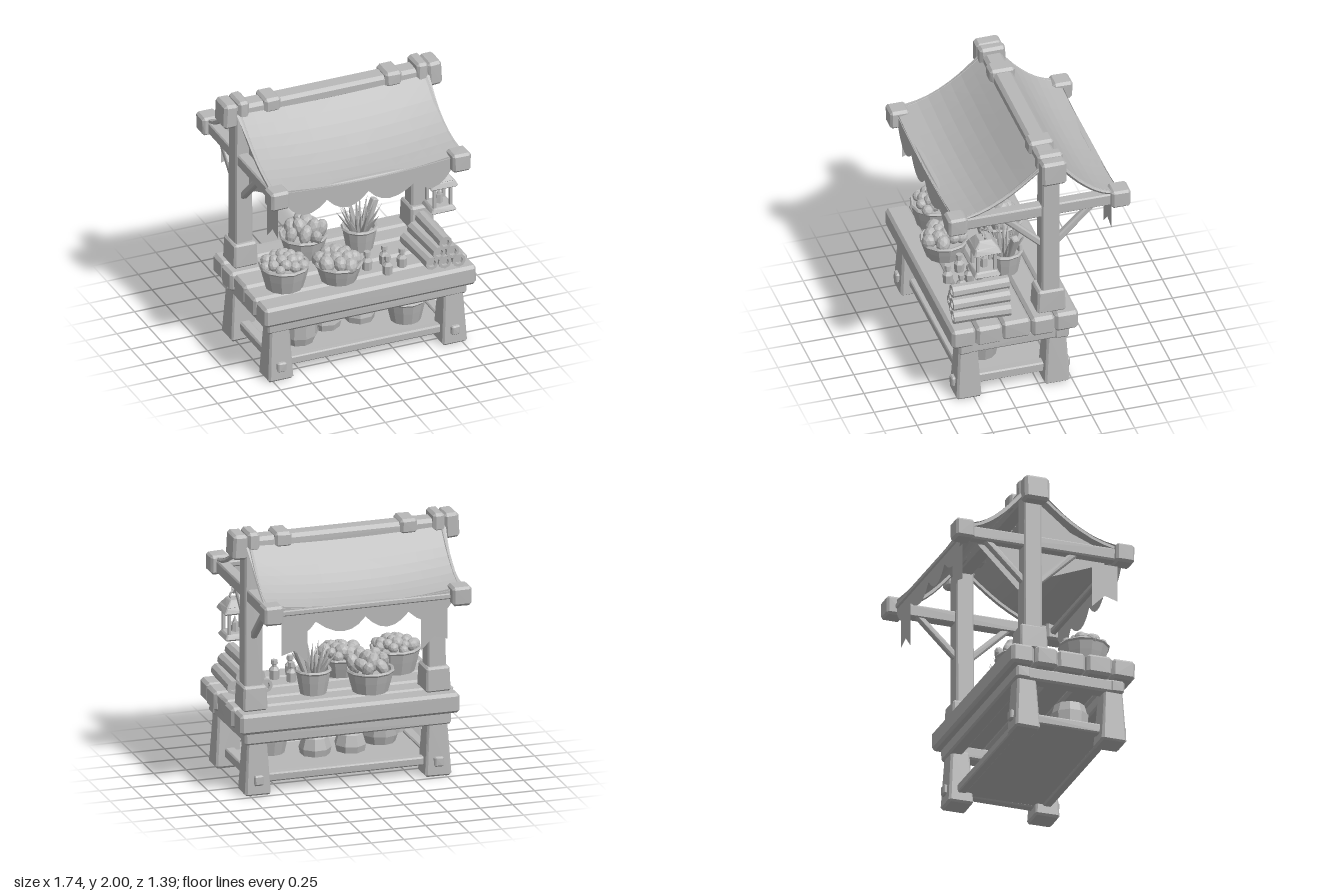
import * as THREE from 'three';
import { ConvexGeometry } from 'three/addons/geometries/ConvexGeometry.js';

export function createModel() {
  const model = new THREE.Group();
  const stone = new THREE.MeshStandardMaterial({ color: 0xb8b8b8 });
  stone.name = 'plain grey';
  stone.flatShading = true;
  stone.side = THREE.DoubleSide;

  let seed = 7;
  const rnd = () => (seed = (seed * 16807) % 2147483647) / 2147483647;

  function add(name, geo, x = 0, y = 0, z = 0, parent = model) {
    const mesh = new THREE.Mesh(geo, stone);
    mesh.name = name;
    mesh.position.set(x, y, z);
    parent.add(mesh);
    return mesh;
  }
  // Hand-hewn block: chamfered box with slight wobble, optionally narrower at the top
  function hewn(w, h, d, bevel = 0.015, taper = 1, wobble = 0.004) {
    const pts = [];
    for (const sx of [-1, 1]) for (const sy of [-1, 1]) for (const sz of [-1, 1]) {
      const k = sy > 0 ? taper : 1;
      for (let a = 0; a < 3; a++) {
        const b = [0, 1, 2].map(i => (i === a ? 0 : bevel));
        pts.push(new THREE.Vector3(
          sx * (w / 2 * k - b[0]) + (rnd() - 0.5) * wobble,
          sy * (h / 2 - b[1]) + (rnd() - 0.5) * wobble,
          sz * (d / 2 * k - b[2]) + (rnd() - 0.5) * wobble));
      }
    }
    return new ConvexGeometry(pts);
  }
  // Block given by its minimum and maximum corner
  function block(name, a, b, bevel, taper) {
    return add(name, hewn(b[0] - a[0], b[1] - a[1], b[2] - a[2], bevel, taper),
      (a[0] + b[0]) / 2, (a[1] + b[1]) / 2, (a[2] + b[2]) / 2);
  }
  // Square beam between two points
  function beam(name, a, b, t) {
    const p = new THREE.Vector3(...a), q = new THREE.Vector3(...b);
    const mesh = add(name, hewn(t, t, p.distanceTo(q), 0.01));
    mesh.position.copy(p).lerp(q, 0.5);
    mesh.lookAt(q);
    return mesh;
  }
  const shapeOf = pts => new THREE.ShapeGeometry(new THREE.Shape(pts.map(p => new THREE.Vector2(...p))));

  // Table top planks
  [[0.5, 0.68, 0.84], [0.3, 0.497, 0.85], [0.08, 0.297, 0.835], [-0.1, 0.077, 0.85], [-0.28, -0.103, 0.84]]
    .forEach(([z0, z1, x]) => block('tablePlank', [-x, 0.485, z0], [x, 0.64, z1], 0.022));
  // Apron under the top
  for (const z of [0.56, -0.17]) block('apron', [-0.79, 0.39, z - 0.055], [0.79, 0.49, z + 0.055], 0.015);
  for (const x of [-0.72, 0.72]) block('sideApron', [x - 0.06, 0.39, -0.2], [x + 0.06, 0.49, 0.6], 0.015);

  // Lower shelf with rails
  block('shelf', [-0.68, 0.085, -0.14], [0.68, 0.13, 0.54], 0.01);
  for (const z of [0.53, -0.13]) block('shelfRail', [-0.66, 0.075, z - 0.035], [0.66, 0.14, z + 0.035], 0.01);
  for (const x of [-0.68, 0.68]) block('sideRail', [x - 0.04, 0.075, -0.12], [x + 0.04, 0.15, 0.52], 0.01);

  for (const s of [-1, 1]) {
    // Splayed legs and pegs
    for (const [z, out] of [[0.535, 1], [-0.135, -1]]) {
      block('leg', [s * 0.69 - 0.1, 0, z - 0.095], [s * 0.69 + 0.1, 0.42, z + 0.095], 0.015, 0.76);
      block('legPeg', [s * 0.69 - 0.035, 0.08, z + out * 0.085 - 0.03], [s * 0.69 + 0.035, 0.155, z + out * 0.085 + 0.03], 0.01);
    }
    // Canopy posts
    block('postBase', [s * 0.7 - 0.095, 0.635, -0.2], [s * 0.7 + 0.095, 0.825, 0.02], 0.015, 0.94);
    block('post', [s * 0.7 - 0.07, 0.8, -0.16], [s * 0.7 + 0.07, 1.9, -0.02], 0.012, 0.95);
    // Ridge end blocks and straps
    const end = block('ridgeEnd', [s * 0.81 - 0.055, 1.8, -0.185], [s * 0.81 + 0.055, 1.99, 0.005], 0.02);
    end.rotation.z = s * 0.05;
    block('ridgeStrap', [s * 0.71 - 0.045, 1.86, -0.19], [s * 0.71 + 0.045, 2.0, 0.005], 0.02);
    block('ridgeStrap', [s * 0.48 - 0.065, 1.865, -0.185], [s * 0.48 + 0.065, 1.98, 0.005], 0.02);
    // Side arms, eave caps and braces
    block('sideArm', [s * 0.71 - 0.045, 1.465, -0.58], [s * 0.71 + 0.045, 1.56, 0.58], 0.01);
    for (const t of [-1, 1]) {
      block('eaveCap', [s * 0.72 - 0.073, 1.45, t * 0.62 - 0.073], [s * 0.72 + 0.073, 1.595, t * 0.62 + 0.073], 0.018);
      beam('brace', [s * 0.7, 1.2, -0.09 + t * 0.05], [s * 0.7, 1.49, -0.09 + t * 0.35], 0.05);
    }
  }
  block('ridgeBeam', [-0.82, 1.855, -0.165], [0.82, 1.955, -0.015], 0.025);
  for (const z of [-0.6, 0.6]) block('eaveBeam', [-0.66, 1.49, z - 0.025], [0.66, 1.535, z + 0.025], 0.01);

  // Sagging cloth roof, scalloped valance and rafters on both slopes
  const slope = new THREE.CatmullRomCurve3([[0, 1.9], [0.2, 1.74], [0.42, 1.62], [0.64, 1.565]]
    .map(([t, y]) => new THREE.Vector3(0, y, t)));
  const roofZ = (t, side) => (side > 0 ? -0.015 + t * 1.02 : -0.165 - t * 0.71);
  for (const side of [1, -1]) {
    const cloth = new THREE.PlaneGeometry(1.53, 1, 12, 8);
    const pos = cloth.attributes.position;
    for (let i = 0; i < pos.count; i++) {
      const v = 0.5 - pos.getY(i), x = pos.getX(i);
      const p = slope.getPoint(v);
      const sag = (1 - (x / 0.765) ** 2) * (0.02 + 0.03 * Math.sin(v * 2.4));
      pos.setXYZ(i, x * (1 - 0.025 * Math.sin(v * Math.PI)), p.y - sag, roofZ(p.z, side));
    }
    add('roofCloth', cloth);
    for (const x of [-0.735, 0.735]) {
      const path = new THREE.CatmullRomCurve3(slope.getPoints(6).map(p =>
        new THREE.Vector3(x, p.y - 0.018, roofZ(p.z, side))));
      add('rafter', new THREE.TubeGeometry(path, 8, 0.018, 5));
    }
    const valance = new THREE.Shape();
    valance.moveTo(-0.66, 1.57);
    valance.lineTo(-0.66, 1.46);
    [[-0.52, -0.33], [-0.17, 0], [0.15, 0.38], [0.51, 0.66]].forEach(([mid, stop]) =>
      valance.quadraticCurveTo(mid, 1.235, stop, stop > 0.6 ? 1.46 : 1.425));
    valance.lineTo(0.66, 1.57);
    valance.quadraticCurveTo(0, 1.48, -0.66, 1.57);
    add('valance', new THREE.ShapeGeometry(valance, 6), 0, 0, side > 0 ? 0.633 : -0.615);
  }

  // Swallow-tailed pennants
  const pennant = shapeOf([[-0.1, 0.35], [-0.1, 0.07], [0, 0.1], [0.1, 0], [0.1, 0.35]]);
  add('pennant', pennant, -0.535, 1.11, -0.59);
  add('pennant', pennant, 0.535, 1.11, -0.59).scale.x = -1;
  add('sidePennant', pennant, -0.7, 1.09, 0.49).rotation.y = Math.PI / 2;
  // Side drape
  add('sideDrape', shapeOf([[0, 1.86], [-0.24, 1.67], [-0.54, 1.55], [-0.5, 1.46], [-0.1, 1.3],
    [0.17, 1.15], [0.48, 1.46], [0.15, 1.5]]), -0.66).rotation.y = Math.PI / 2;

  // Hanging lantern
  const lantern = new THREE.Group();
  lantern.name = 'lantern';
  lantern.position.set(0.665, 1.02, 0.39);
  model.add(lantern);
  add('lanternBase', hewn(0.2, 0.045, 0.2, 0.01, 0.85), 0, 0.022, 0, lantern);
  add('lanternEaves', hewn(0.22, 0.05, 0.21, 0.01, 0.85), 0, 0.225, 0, lantern);
  add('lanternRoof', hewn(0.17, 0.06, 0.17, 0.01, 0.65), 0, 0.27, 0, lantern);
  add('candle', new THREE.CylinderGeometry(0.025, 0.03, 0.07, 6), 0, 0.08, 0, lantern);
  add('flame', new THREE.ConeGeometry(0.018, 0.05, 5), 0, 0.14, 0, lantern);
  for (const x of [-0.065, 0.065]) for (const z of [-0.065, 0.065])
    add('lanternBar', new THREE.BoxGeometry(0.022, 0.18, 0.022), x, 0.12, z, lantern);
  for (let i = 0; i < 3; i++)
    add('chainLink', new THREE.TorusGeometry(0.03, 0.009, 5, 8), 0.01, 0.32 + i * 0.05, 0, lantern).rotation.y = i * 1.5;

  // Baskets with heaped produce
  function basket(name, x, y, z, r, h) {
    const pts = [[0.01, 0], [r * 0.76, 0], [r * 0.9, h * 0.55], [r, h], [r * 0.9, h], [r * 0.85, h * 0.75], [0.01, h * 0.75]];
    add(name, new THREE.LatheGeometry(pts.map(p => new THREE.Vector2(...p)), 12), x, y, z);
    add(name + 'Rim', new THREE.TorusGeometry(r * 0.96, 0.014, 5, 12), x, y + h, z).rotation.x = Math.PI / 2;
  }
  function heap(x, y, z, r, top, size, count, stretch) {
    for (let i = 0; i < count; i++) {
      const d = Math.sqrt((i + 0.5) / count) * r * 0.82, a = i * 2.4;
      const item = add('produce', new THREE.IcosahedronGeometry(size * (0.8 + rnd() * 0.4), 1),
        x + d * Math.cos(a), y + top * (1 - (d / r) ** 2), z + d * Math.sin(a));
      item.scale.y = stretch;
      item.rotation.set(rnd() * 1.6 - 0.8, rnd() * 6, rnd() * 1.6 - 0.8);
    }
  }
  basket('leftBasket', -0.56, 0.64, 0.38, 0.185, 0.175);
  heap(-0.56, 0.8, 0.38, 0.185, 0.07, 0.042, 18, 1);
  basket('frontBasket', -0.155, 0.64, 0.44, 0.175, 0.135);
  heap(-0.155, 0.77, 0.44, 0.175, 0.06, 0.05, 13, 1.2);
  basket('backBasket', -0.24, 0.64, 0.0, 0.175, 0.16);
  heap(-0.24, 0.8, 0.0, 0.175, 0.08, 0.05, 12, 1.6);

  // Herb pot
  basket('herbPot', 0.17, 0.64, 0.08, 0.13, 0.175);
  for (let i = 0; i < 26; i++) {
    const a = i * 2.4, lean = 0.08 + 0.6 * (i / 26), len = 0.2 + rnd() * 0.06;
    const sprig = add('herbLeaf', new THREE.ConeGeometry(0.022, len, 4).translate(0, len / 2, 0),
      0.17 + 0.04 * Math.cos(a), 0.77, 0.08 + 0.04 * Math.sin(a));
    sprig.rotation.set(0, -a, -lean);
  }
  beam('rolledBundle', [0.22, 0.78, 0.06], [0.31, 1.0, 0.04], 0.055);

  // Bottles
  const bottle = new THREE.LatheGeometry([[0, 0], [0.036, 0], [0.04, 0.07], [0.018, 0.095], [0.018, 0.11], [0.026, 0.115], [0.024, 0.145], [0, 0.145]]
    .map(p => new THREE.Vector2(...p)), 7);
  for (const [x, z] of [[0.09, 0.4], [0.2, 0.52], [0.24, 0.37], [0.34, 0.46]]) add('bottle', bottle, x, 0.64, z);

  // Stacked scrolls with hollow ends
  const scroll = new THREE.LatheGeometry([[0.001, -0.19], [0.028, -0.19], [0.03, -0.215], [0.052, -0.215], [0.048, 0], [0.052, 0.215], [0.03, 0.215], [0.028, 0.19], [0.001, 0.19]]
    .map(p => new THREE.Vector2(...p)), 9).rotateX(Math.PI / 2);
  [3, 2, 1].forEach((n, row) => {
    for (let i = 0; i < n; i++) {
      const s = add('scroll', scroll, 0.615 + (i - (n - 1) / 2) * 0.108, 0.692 + row * 0.078, 0.41 + (rnd() - 0.5) * 0.04);
      s.rotation.y = (rnd() - 0.5) * 0.1;
    }
  });

  // Goods on the shelf
  const barrel = [[0, 0], [0.115, 0], [0.14, 0.08], [0.14, 0.17], [0.115, 0.26], [0.1, 0.26], [0.1, 0.24], [0, 0.24]];
  add('barrel', new THREE.LatheGeometry(barrel.map(p => new THREE.Vector2(...p)), 10), -0.42, 0.13, 0.32);
  for (const y of [0.21, 0.3])
    add('barrelHoop', new THREE.CylinderGeometry(0.146, 0.146, 0.025, 10, 1, true), -0.42, y, 0.32);
  const sack = [[0, 0], [0.11, 0], [0.12, 0.05], [0.095, 0.13], [0.05, 0.165], [0.065, 0.2], [0, 0.185]];
  for (const x of [-0.155, 0.115])
    add('sack', new THREE.LatheGeometry(sack.map(p => new THREE.Vector2(...p)), 8), x, 0.13, 0.2).rotation.y = x * 4;
  basket('shelfBasket', 0.42, 0.13, 0.34, 0.15, 0.175);

  return model;
}
